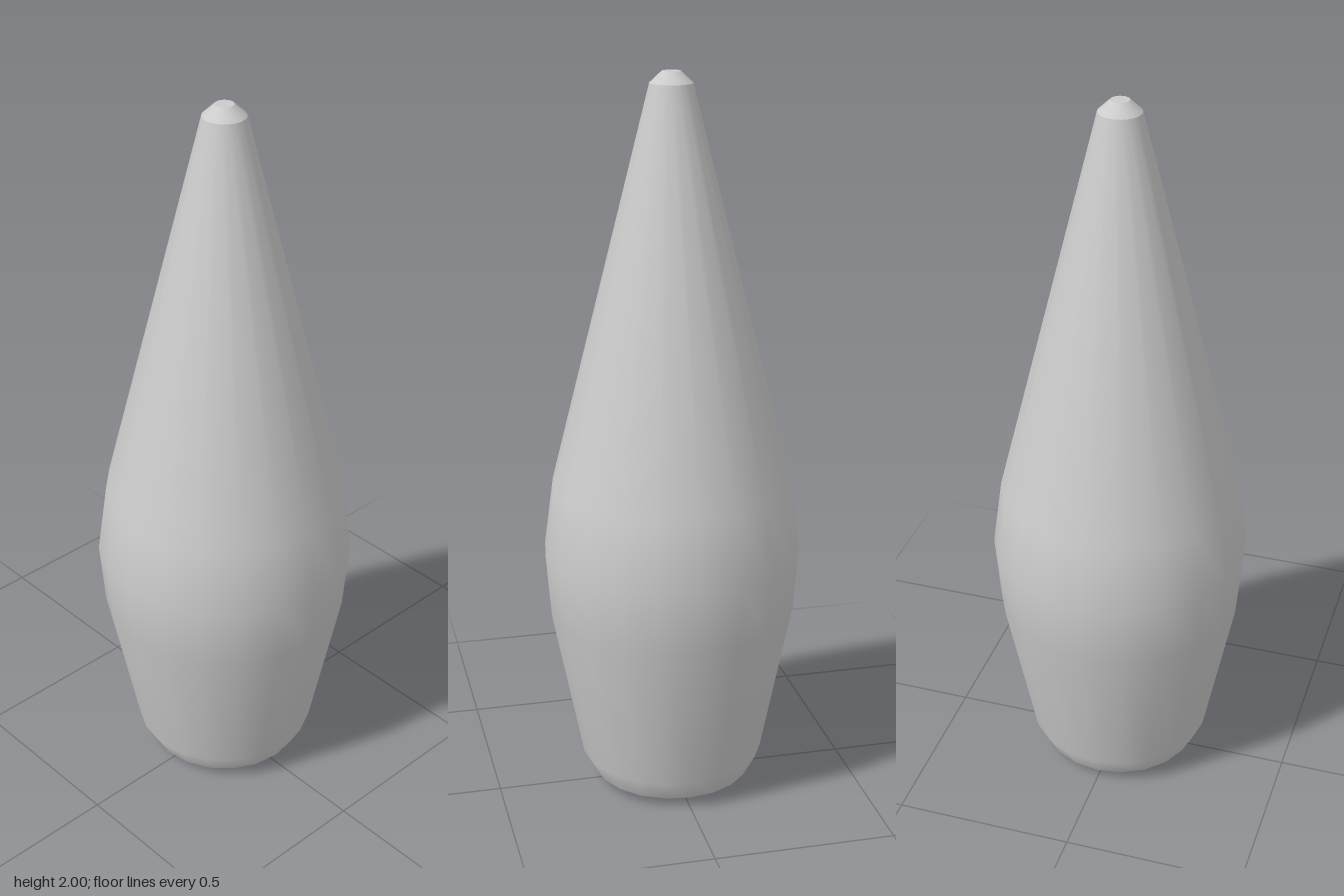
import * as THREE from 'three';

const SIDES = 20;

// Revolve a short [radius, height] profile, listed from bottom to top
function revolve(name, profile, material) {
  const points = profile.map(([r, y]) => new THREE.Vector2(r, y));
  const mesh = new THREE.Mesh(new THREE.LatheGeometry(points, SIDES), material);
  mesh.name = name;
  return mesh;
}

export function createModel() {
  const group = new THREE.Group();
  group.name = 'taperedBody';
  const grey = new THREE.MeshStandardMaterial({ color: 0xcccccc });

  group.add(
    // Shallow chamfered underside
    revolve('base', [[0, 0], [0.165, 0.004], [0.222, 0.028]], grey),
    // Rounded foot, swelling belly and long straight taper
    revolve('body', [
      [0.222, 0.028], [0.255, 0.09], [0.34, 0.52],
      [0.354, 0.7], [0.328, 0.89], [0.057, 1.97],
    ], grey),
    // Bevelled tip
    revolve('tipBevel', [[0.057, 1.97], [0.025, 2]], grey),
    // Flat end of the tip
    revolve('tipCap', [[0.025, 2], [0, 2]], grey),
  );
  return group;
}
